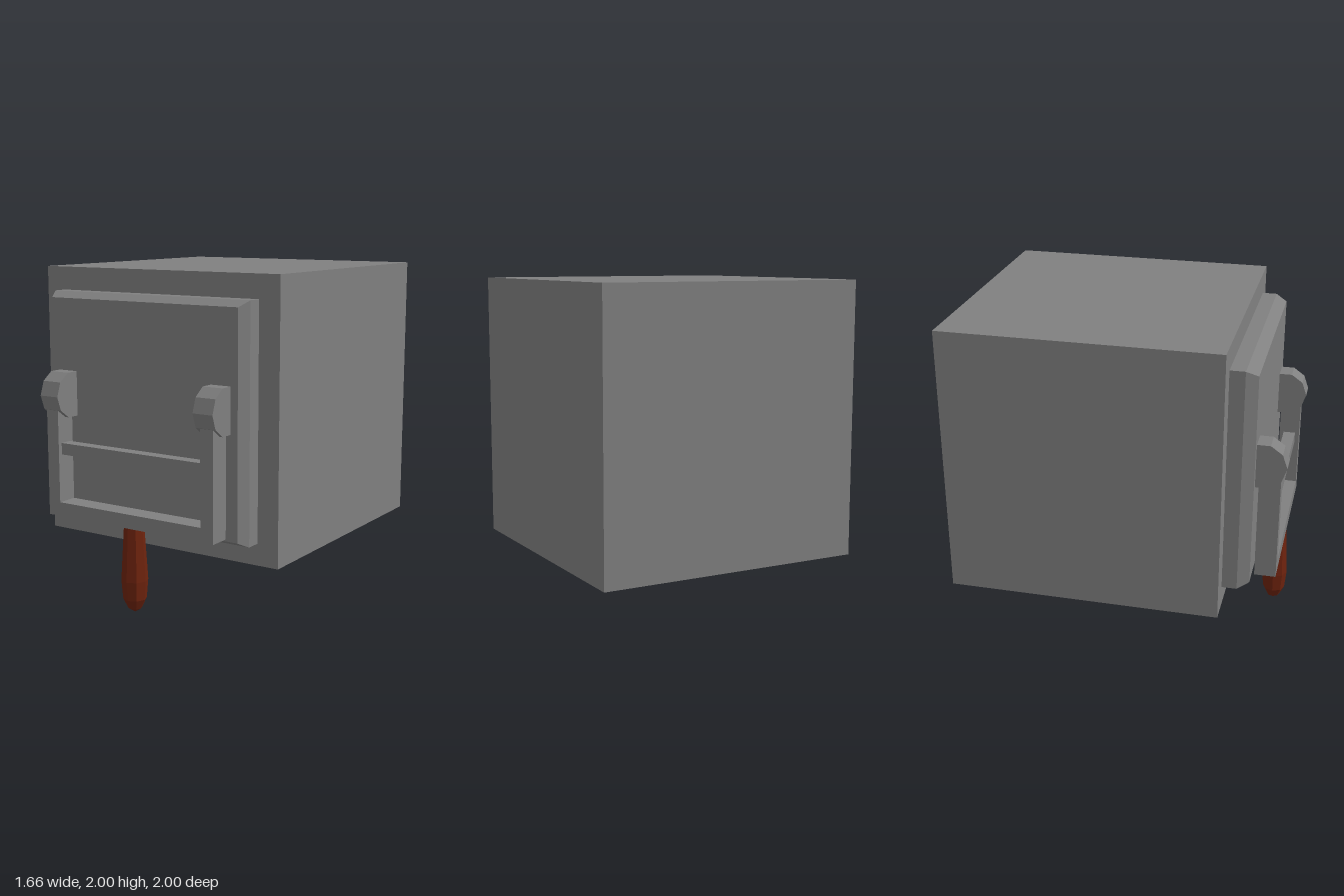
import * as THREE from 'three';

const iron = new THREE.MeshStandardMaterial({ color: 0x808080, flatShading: true });
iron.name = 'iron grey';
const wood = new THREE.MeshStandardMaterial({ color: 0x6e230e, flatShading: true });
wood.name = 'dark red wood';

function add(parent, name, geometry, material, x = 0, y = 0, z = 0) {
  const mesh = new THREE.Mesh(geometry, material);
  mesh.name = name;
  mesh.position.set(x, y, z);
  parent.add(mesh);
  return mesh;
}

const shapeOf = (pts) => new THREE.Shape(pts.map(([x, y]) => new THREE.Vector2(x, y)));

export function createModel() {
  const model = new THREE.Group();
  model.name = 'ironBox';

  // Main block
  add(model, 'body', new THREE.BoxGeometry(1.66, 1.66, 1.66), iron, 0, 1.17, -0.17);

  // Raised front panel with a chamfered edge; its rear chamfer sinks into the body
  const panel = new THREE.ExtrudeGeometry(
    shapeOf([[-0.66, 0.505], [0.66, 0.505], [0.66, 1.825], [-0.66, 1.825]]),
    { depth: 0.09, bevelEnabled: true, bevelSegments: 1, bevelSize: 0.035, bevelThickness: 0.07 }
  );
  add(model, 'frontPanel', panel, iron, 0, 0, 0.66);

  // Rounded hinge lugs, profile drawn in z and y then turned to run along x
  const lug = new THREE.ExtrudeGeometry(
    shapeOf([[0.81, 1.12], [0.9, 1.12], [0.97, 1.17], [1, 1.255], [0.97, 1.34], [0.9, 1.39], [0.81, 1.39]]),
    { depth: 0.13, bevelEnabled: false }
  );
  lug.translate(0, 0, -0.065);
  lug.rotateY(-Math.PI / 2);
  // The turn maps profile x to +z
  for (const side of [-1, 1]) {
    add(model, side > 0 ? 'leftLug' : 'rightLug', lug, iron, side * 0.548, 0, 0);
  }

  // U-shaped swinging bail with a cross bar
  const bail = new THREE.Group();
  bail.name = 'bail';
  model.add(bail);
  const frame = new THREE.ExtrudeGeometry(
    shapeOf([[-0.595, 0.523], [0.595, 0.523], [0.595, 1.25], [0.51, 1.25],
      [0.51, 0.608], [-0.51, 0.608], [-0.51, 1.25], [-0.595, 1.25]]),
    { depth: 0.128, bevelEnabled: false }
  );
  add(bail, 'bailFrame', frame, iron, 0, 0, 0.839);
  add(bail, 'crossBar', new THREE.BoxGeometry(1.03, 0.07, 0.075), iron, 0, 0.933, 0.903);

  // Faceted wooden grip hanging below the bail
  const profile = [[0, 0], [0.04, 0.025], [0.07, 0.085], [0.08, 0.2], [0.06, 0.525], [0, 0.525]]
    .map(([r, y]) => new THREE.Vector2(r, y));
  add(model, 'grip', new THREE.LatheGeometry(profile, 8), wood, 0, 0, 0.905);

  return model;
}
